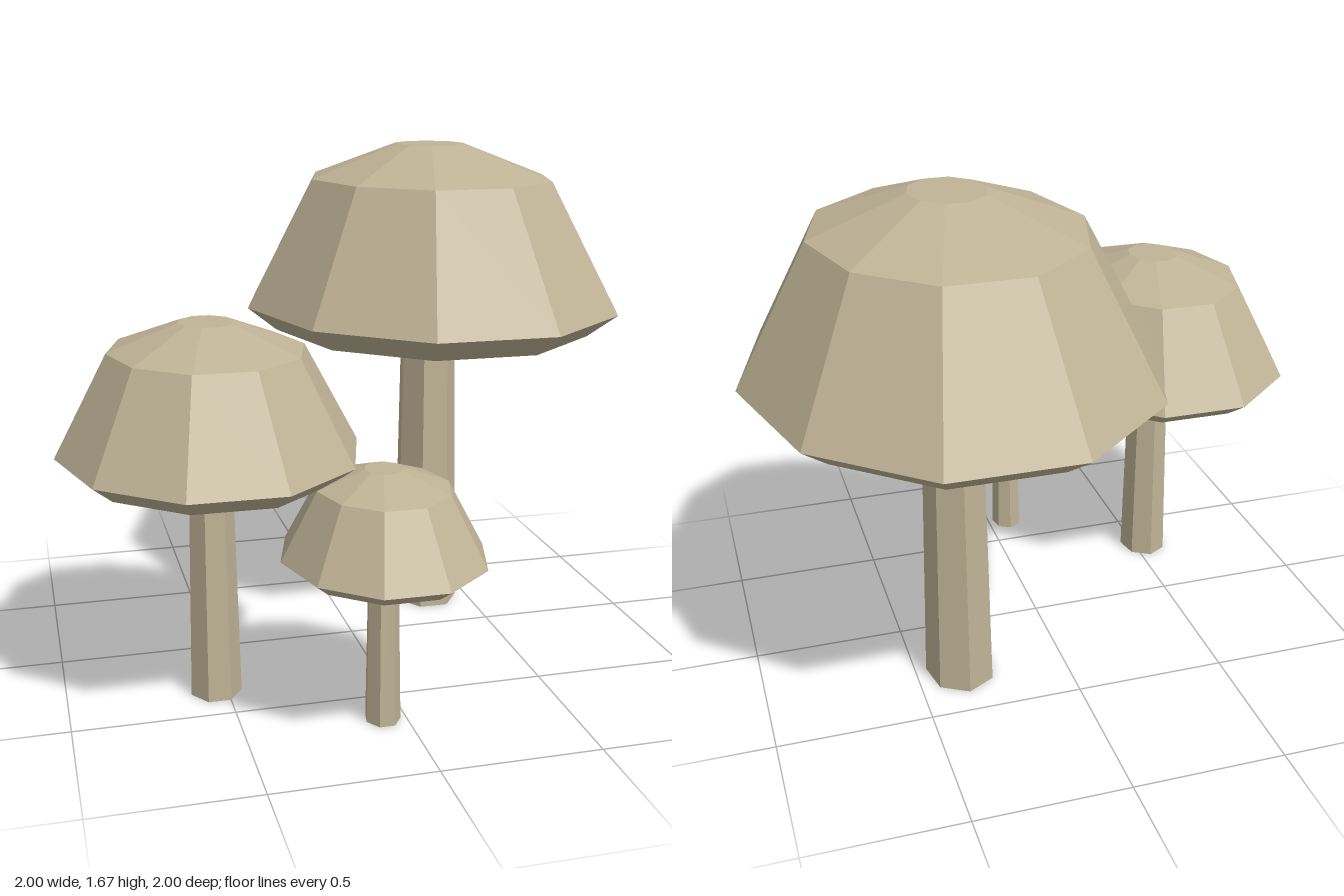
import * as THREE from 'three';

const tan = new THREE.MeshStandardMaterial({ color: 0xbfb396, flatShading: true });
tan.name = 'mushroom tan';

// Cap profile from the underside centre up to the flat crown
const capProfile = [
  [0, 1.04], [0.55, 1.04], [0.65, 1.12], [0.42, 1.555], [0.12, 1.67], [0, 1.67],
].map(([r, y]) => new THREE.Vector2(r, y));

function createMushroom(name, x, z, size) {
  const mushroom = new THREE.Group();
  mushroom.name = name;

  // Ten-sided faceted cap
  const cap = new THREE.Mesh(new THREE.LatheGeometry(capProfile, 10, Math.PI / 2), tan);
  cap.name = 'cap';

  // Seven-sided tapered stem, ending just inside the cap
  const height = 1.06;
  const stemShape = new THREE.CylinderGeometry(0.096, 0.115, height, 7, 1, false, Math.PI);
  stemShape.translate(0, height / 2, 0);
  const stem = new THREE.Mesh(stemShape, tan);
  stem.name = 'stem';

  // Each mushroom is a little deeper than wide
  mushroom.add(cap, stem);
  mushroom.position.set(x, 0, z);
  mushroom.scale.set(size, size, size * 1.18);
  return mushroom;
}

export function createModel() {
  const model = new THREE.Group();
  model.name = 'mushroomCluster';
  model.add(
    createMushroom('largeMushroom', 0.35, -0.27, 1),
    createMushroom('mediumMushroom', -0.535, 0.325, 0.717),
    createMushroom('smallMushroom', -0.072, 0.648, 0.479),
  );
  return model;
}
